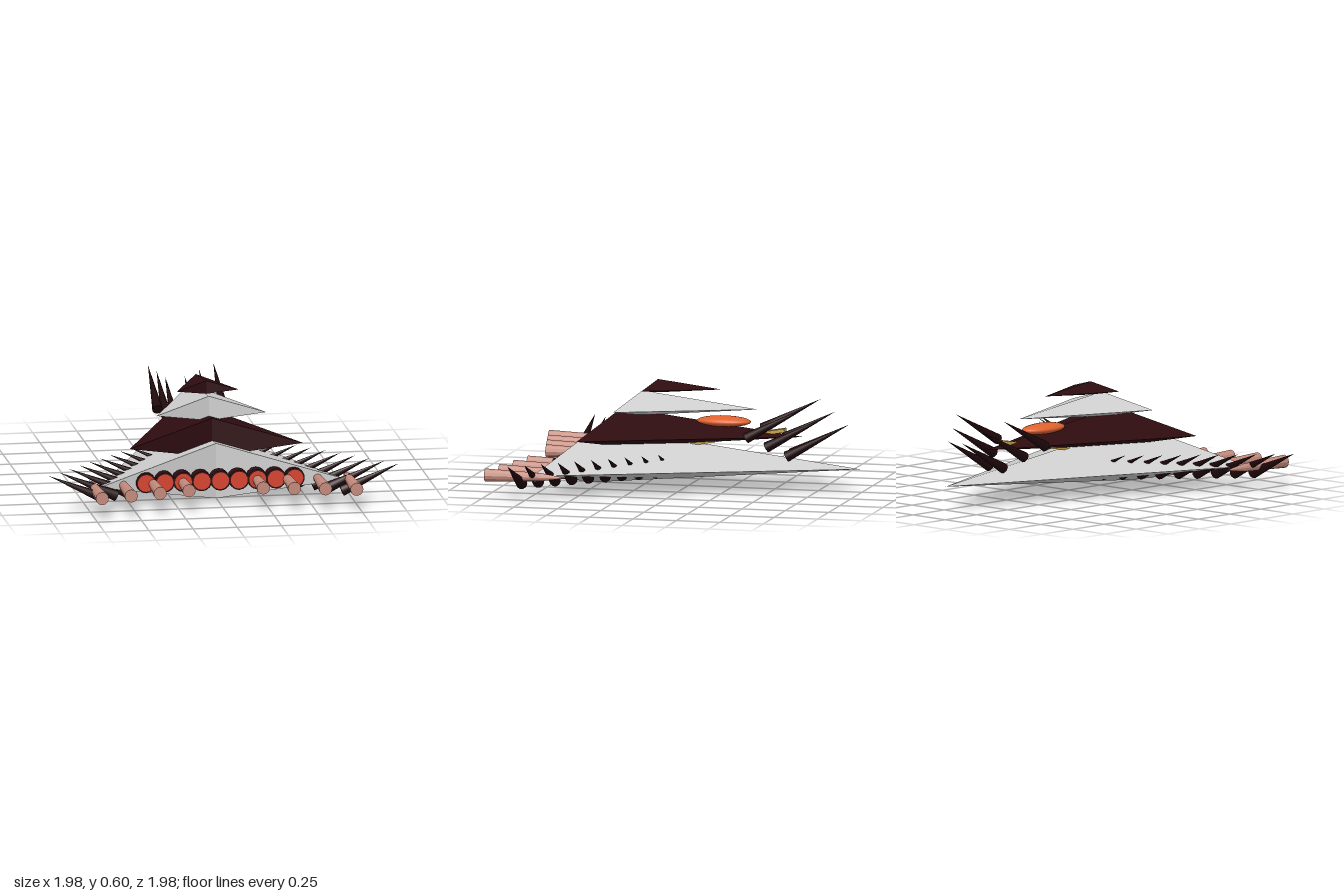
import * as THREE from 'three';

const material = (name, color, flatShading = false) => {
  const m = new THREE.MeshStandardMaterial({ color, flatShading });
  m.name = name;
  return m;
};

export function createModel() {
  const model = new THREE.Group();
  const grey = material('paleGrey', 0xcecece, true);
  const maroon = material('darkMaroon', 0x2e0c10, true);
  const black = material('spikeBlack', 0x1f0709);
  const pink = material('dullPink', 0xc48a7c, true);
  const red = material('engineRed', 0xd8432e);
  const orange = material('domeOrange', 0xe0622e);
  const gold = material('gold', 0xc2a24a);

  const add = (name, geometry, mat, x = 0, y = 0, z = 0) => {
    const mesh = new THREE.Mesh(geometry, mat);
    mesh.name = name;
    mesh.position.set(x, y, z);
    model.add(mesh);
    return mesh;
  };

  // Arrowhead wedge: nose, two swept tips, ridge top and keel
  const wedge = (name, mat, noseZ, tipX, tipZ, midY, backZ, topY, keelY) => {
    const N = [0, midY, noseZ], L = [tipX, midY, tipZ], R = [-tipX, midY, tipZ];
    const T = [0, topY, backZ], B = [0, keelY, backZ];
    const faces = [N, T, L, N, R, T, N, L, B, N, B, R, T, B, L, T, R, B];
    const g = new THREE.BufferGeometry();
    g.setAttribute('position', new THREE.Float32BufferAttribute(faces.flat(), 3));
    g.computeVertexNormals();
    return add(name, g, mat);
  };
  wedge('mainHull', grey, -0.99, 0.7, 0.72, 0.13, 0.52, 0.315, 0);
  wedge('secondDeck', maroon, -0.66, 0.49, 0.52, 0.3, 0.38, 0.427, 0.205);
  wedge('thirdDeck', grey, -0.4, 0.31, 0.355, 0.445, 0.265, 0.527, 0.388);
  wedge('topDeck', maroon, -0.19, 0.175, 0.225, 0.55, 0.175, 0.595, 0.52);

  // Cone spike from its base centre to its tip
  const spike = (name, base, tip, radius) => {
    const a = new THREE.Vector3(...base), b = new THREE.Vector3(...tip);
    const dir = b.clone().sub(a);
    const mesh = add(name, new THREE.ConeGeometry(radius, dir.length(), 10), black);
    mesh.position.copy(a).add(b).multiplyScalar(0.5);
    mesh.quaternion.setFromUnitVectors(new THREE.Vector3(0, 1, 0), dir.normalize());
  };

  for (const s of [1, -1]) {
    // Rows of spikes along both swept edges
    for (let i = 0; i < 10; i++) {
      const x = 0.99 - 0.07 * i, z = 0.79 - 0.0785 * i;
      spike('edgeSpike', [s * (x - 0.325), 0.08, z], [s * x, 0.225, z], 0.032);
    }
    // Raised horns near the nose
    for (let i = 0; i < 3; i++) {
      const x = s * (0.185 - 0.065 * i), y = 0.31 - 0.058 * i, z = -0.38 - 0.1 * i;
      spike('noseHorn', [x, y, z], [x, y + 0.178, z - 0.335], 0.03);
    }
    // Flared rear cannons with tapered front ends
    for (let i = 0; i < 4; i++) {
      const x = s * (0.21 + 0.17 * i), end = 0.87 + 0.0385 * i;
      add('cannon', new THREE.CylinderGeometry(0.037, 0.023, 0.32, 12), pink, x, 0.13, end - 0.16)
        .rotation.x = Math.PI / 2;
      add('cannonTip', new THREE.ConeGeometry(0.023, 0.145, 12), pink, x, 0.13, end - 0.3925)
        .rotation.x = -Math.PI / 2;
    }
  }

  // Nine rear engines, each with a glowing disc
  for (let i = -4; i <= 4; i++) {
    add('engine', new THREE.CylinderGeometry(0.057, 0.057, 0.07, 14), maroon, i * 0.105, 0.135, 0.635)
      .rotation.x = Math.PI / 2;
    add('engineGlow', new THREE.CircleGeometry(0.048, 20), red, i * 0.105, 0.135, 0.673);
  }

  // Flattened dome and the slanted bar that runs out through the second deck
  add('dome', new THREE.SphereGeometry(1, 28, 16), orange, 0, 0.372, -0.205).scale.set(0.077, 0.03, 0.155);
  add('noseBar', new THREE.BoxGeometry(0.05, 0.02, 0.55), gold, 0, 0.287, -0.288).rotation.x = 0.175;

  return model;
}
